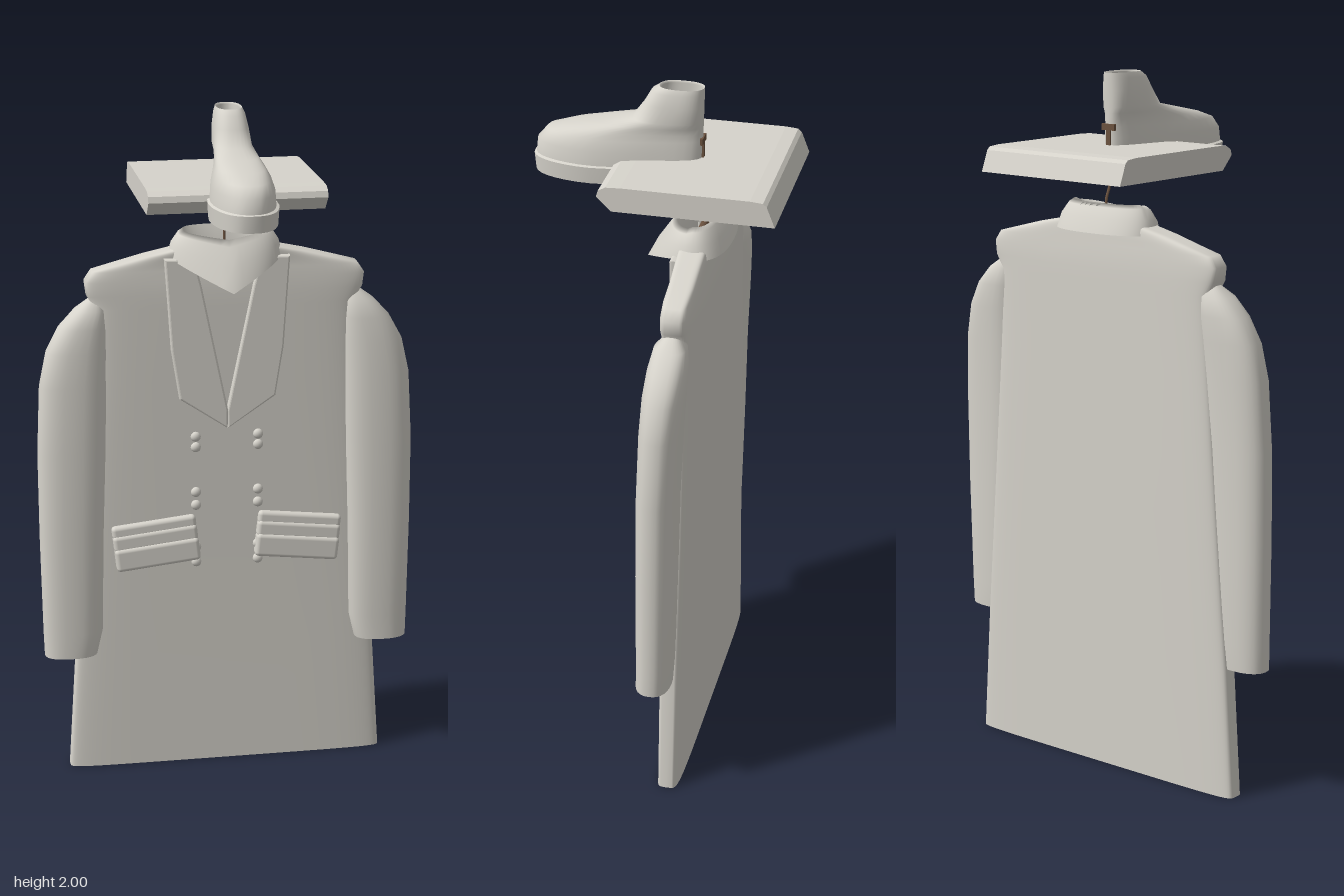
import * as THREE from 'three';
import { RoundedBoxGeometry } from 'three/addons/geometries/RoundedBoxGeometry.js';

const cloth = new THREE.MeshStandardMaterial({ color: 0xd6d3cb, side: THREE.DoubleSide });
cloth.name = 'pale cloth';
const brown = new THREE.MeshStandardMaterial({ color: 0x6b523f, side: THREE.DoubleSide });
brown.name = 'hanger brown';

// Skin through stacked rounded sections [y, cx, cz, rx, rz]; p sets how square they are.
// A repeated section leaves a sharp edge.
function loft(sections, n, p, warp) {
  const pos = [], index = [];
  const power = (v) => Math.sign(v) * Math.abs(v) ** (2 / p);
  sections.forEach(([y, cx, cz, rx, rz], i) => {
    for (let j = 0; j < n; j++) {
      const t = (j / n) * Math.PI * 2;
      const v = new THREE.Vector3(cx + rx * power(Math.cos(t)), y, cz + rz * power(Math.sin(t)));
      if (warp) warp(v, i);
      pos.push(v.x, v.y, v.z);
      if (i < sections.length - 1) {
        const a = i * n + j, b = i * n + ((j + 1) % n);
        index.push(a, a + n, b, b, a + n, b + n);
      }
    }
  });
  const geo = new THREE.BufferGeometry();
  geo.setAttribute('position', new THREE.Float32BufferAttribute(pos, 3));
  geo.setIndex(index);
  geo.computeVertexNormals();
  return geo;
}

export function createModel() {
  const model = new THREE.Group();
  const add = (name, geo, mat, x = 0, y = 0, z = 0, parent = model) => {
    const m = new THREE.Mesh(geo, mat);
    m.name = name;
    m.position.set(x, y, z);
    parent.add(m);
    return m;
  };

  // Coat body, from the hem up over the shoulders
  add('coatBody', loft([
    [0, 0, -0.12, 0.475, 0.036], [0.37, 0, -0.12, 0.45, 0.037], [0.8, 0, -0.12, 0.415, 0.04],
    [1.2, 0, -0.118, 0.385, 0.043], [1.42, 0, -0.117, 0.375, 0.045], [1.46, 0, -0.117, 0.4, 0.045],
    [1.5, 0, -0.117, 0.405, 0.044], [1.53, 0, -0.117, 0.385, 0.041], [1.55, 0, -0.117, 0.31, 0.04],
    [1.57, 0, -0.115, 0.235, 0.04], [1.585, 0, -0.113, 0.165, 0.04], [1.6, 0, -0.11, 0.12, 0.04],
  ], 64, 6), cloth);

  // Collar: outer fall drawn to a point in front, folded over an inner band
  const fall = [1, 0.7, 0.4, 0.3, 0.3];
  add('collar', loft([
    [1.565, 0, -0.115, 0.165, 0.085], [1.605, 0, -0.112, 0.155, 0.072], [1.635, 0, -0.11, 0.135, 0.055],
    [1.645, 0, -0.11, 0.12, 0.046], [1.57, 0, -0.11, 0.1, 0.036],
  ], 48, 2.4, (v, i) => {
    if (v.z <= -0.11) return;
    const f = Math.max(0, 1 - Math.abs(v.x) / 0.165) * fall[i];
    v.y -= 0.08 * f;
    v.z += 0.075 * f;
  }), cloth);

  for (const s of [-1, 1]) {
    const side = s > 0 ? 'left' : 'right';

    // Sleeve, open at the cuff
    add(side + 'Sleeve', loft([
      [0.375, 0.468, -0.085, 0.078, 0.05], [0.45, 0.46, -0.087, 0.088, 0.052],
      [0.75, 0.458, -0.09, 0.094, 0.055], [1.0, 0.453, -0.093, 0.099, 0.056],
      [1.2, 0.445, -0.1, 0.097, 0.057], [1.3, 0.432, -0.105, 0.088, 0.057],
      [1.37, 0.412, -0.11, 0.07, 0.054], [1.42, 0.39, -0.112, 0.045, 0.045],
      [1.46, 0.37, -0.115, 0.01, 0.01],
    ].map(([y, x, z, rx, rz]) => [y, x * s, z, rx, rz]), 28, 2.4), cloth);

    // Lapel
    const lapel = new THREE.Shape([
      [0.004, 1.065], [0.135, 1.155], [0.158, 1.3], [0.175, 1.56], [0.1, 1.56], [0.08, 1.48], [0.004, 1.11],
    ].map(([x, y]) => new THREE.Vector2(x * s, y)));
    add(side + 'Lapel', new THREE.ExtrudeGeometry(lapel, {
      depth: 0.012, bevelThickness: 0.008, bevelSize: 0.006, bevelSegments: 3,
    }), cloth, 0, 0, -0.077);

    // Slanted pocket with stepped flap
    const pocket = new THREE.Group();
    pocket.name = side + 'Pocket';
    pocket.position.set(0.212 * s, 0.716, -0.078);
    pocket.rotation.z = -0.11 * s;
    model.add(pocket);
    [[0.045, 0.04, 0.03], [0.012, 0.05, 0.042], [-0.037, 0.07, 0.056]].forEach(([y, h, d]) =>
      add('pocketBand', new RoundedBoxGeometry(0.25, h, d, 3, 0.012), cloth, 0, y, 0, pocket));

    // Button column
    for (const y of [1.032, 1.0, 0.862, 0.822, 0.692, 0.645]) {
      const button = add(side + 'Button', new THREE.SphereGeometry(0.015, 14, 10), cloth, 0.092 * s, y, -0.076);
      button.scale.z = 0.8;
    }
  }

  // Slanted slab above the collar
  const profile = new THREE.Shape([
    [0.085, 1.73], [0.125, 1.77], [0.12, 1.787], [0.1, 1.798], [0.06, 1.8],
    [-0.29, 1.8], [-0.325, 1.797], [-0.335, 1.788], [-0.358, 1.73],
  ].map(([z, y]) => new THREE.Vector2(z, y)));
  const slab = new THREE.ExtrudeGeometry(profile, { depth: 0.5, bevelEnabled: false });
  slab.rotateY(-Math.PI / 2);
  add('slab', slab, cloth, 0.25);

  // Shoe, narrowing toward the heel
  const shoe = new THREE.Group();
  shoe.name = 'shoe';
  model.add(shoe);
  const narrow = (v) => { v.x *= 0.65 + 0.35 * THREE.MathUtils.smoothstep(v.z, -0.05, 0.22); };
  const span = ([y, back, front, rx]) => [y, 0, (front + back) / 2, rx, (front - back) / 2];
  add('shoeSole', loft([
    [1.73, 0.1, 0.11, 0.002], [1.73, -0.107, 0.357, 0.095], [1.73, -0.107, 0.357, 0.095],
    [1.777, -0.11, 0.361, 0.098], [1.777, -0.11, 0.361, 0.098], [1.782, -0.1, 0.35, 0.085],
  ].map(span), 36, 2.5, narrow), cloth, 0, 0, 0, shoe);
  add('shoeUpper', loft([
    [1.775, -0.108, 0.356, 0.091], [1.82, -0.109, 0.351, 0.088], [1.85, -0.11, 0.325, 0.08],
    [1.87, -0.11, 0.26, 0.075], [1.888, -0.11, 0.17, 0.074], [1.905, -0.11, 0.085, 0.077],
    [1.95, -0.111, 0.052, 0.073], [1.985, -0.112, 0.032, 0.064], [2.0, -0.112, 0.01, 0.055],
    [2.0, -0.112, 0.01, 0.055], [1.995, -0.106, 0.004, 0.047], [1.89, -0.104, 0.03, 0.058],
  ].map(span), 36, 2.4, narrow), cloth, 0, 0, 0, shoe);
  const insole = new THREE.CircleGeometry(0.04, 3);
  insole.rotateZ(Math.PI / 2);
  insole.rotateX(-Math.PI / 2);
  add('insole', insole, brown, 0, 1.9, -0.04, shoe);
  const lining = new THREE.CircleGeometry(0.07, 20);
  lining.rotateX(-Math.PI / 2);
  add('insoleBase', lining, cloth, 0, 1.892, -0.04, shoe).scale.x = 0.5;
  add('heelStrap', new THREE.BoxGeometry(0.045, 0.018, 0.008), brown, 0, 1.85, -0.109, shoe);
  add('heelStem', new THREE.BoxGeometry(0.014, 0.05, 0.008), brown, 0, 1.825, -0.109, shoe);

  // Hanger hook and bar in the collar
  const tube = (pts, r) => new THREE.TubeGeometry(
    new THREE.CatmullRomCurve3(pts.map((q) => new THREE.Vector3(...q))), 24, r, 8);
  add('hangerHook', tube([[0, 1.58, -0.12], [0, 1.65, -0.12], [0, 1.69, -0.106],
    [0, 1.73, -0.114], [0, 1.8, -0.116]], 0.004), brown);
  add('hangerBar', tube([[-0.25, 1.52, -0.115], [-0.08, 1.575, -0.112], [0, 1.59, -0.112],
    [0.08, 1.575, -0.112], [0.25, 1.52, -0.115]], 0.012), brown);

  return model;
}
